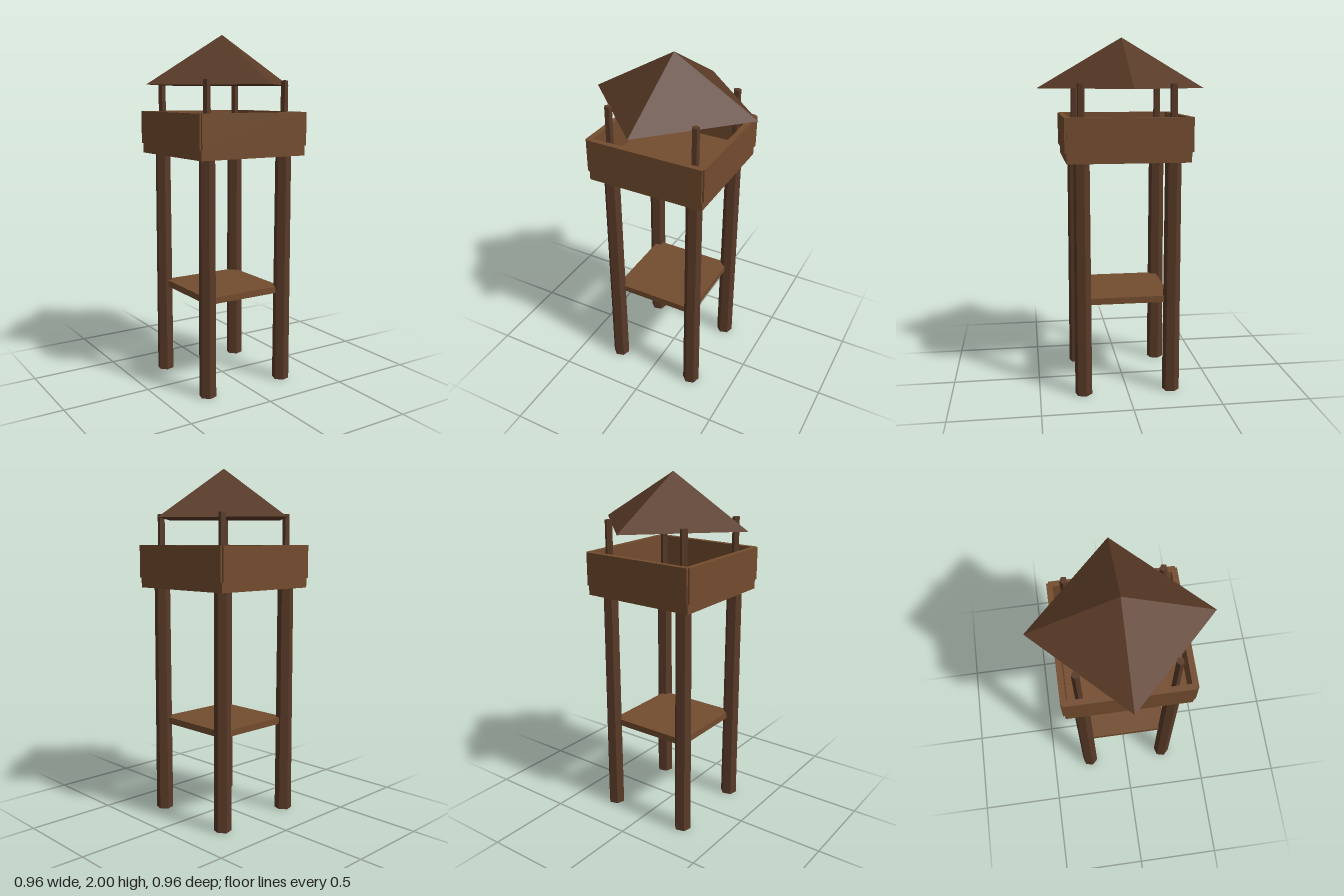
import * as THREE from 'three';

export function createModel() {
  const tower = new THREE.Group();
  tower.name = 'watchtower';

  const plank = new THREE.MeshStandardMaterial({ name: 'plank wood', color: 0x734c2e, flatShading: true });
  const timber = new THREE.MeshStandardMaterial({ name: 'dark timber', color: 0x593a27, flatShading: true });

  const add = (name, geometry, material, x, y, z, turn = 0) => {
    const mesh = new THREE.Mesh(geometry, material);
    mesh.name = name;
    mesh.position.set(x, y, z);
    mesh.rotation.y = turn;
    tower.add(mesh);
  };

  // Tapered legs and thin roof posts at the four corners
  const legHeight = 1.335;
  const legGeometry = new THREE.CylinderGeometry(0.045, 0.049, legHeight, 6);
  const postGeometry = new THREE.CylinderGeometry(0.0215, 0.0215, 0.366, 5);
  for (const sx of [-1, 1]) {
    for (const sz of [-1, 1]) {
      add('leg', legGeometry, timber, sx * 0.2525, legHeight / 2, sz * 0.2525, Math.PI / 4);
      add('roofPost', postGeometry, timber, sx * 0.253, 1.563, sz * 0.253, Math.PI / 4);
    }
  }

  // Lower shelf and lookout floor
  add('shelf', new THREE.BoxGeometry(0.5, 0.037, 0.5), plank, 0, 0.542, 0);
  add('floor', new THREE.BoxGeometry(0.675, 0.062, 0.675), plank, 0, 1.359, 0);

  // Four parapet walls, slightly proud of the floor edge
  const wallGeometry = new THREE.BoxGeometry(0.675, 0.187, 0.032);
  for (let i = 0; i < 4; i++) {
    const a = (i * Math.PI) / 2;
    add('parapetWall', wallGeometry, plank, Math.sin(a) * 0.332, 1.478, Math.cos(a) * 0.332, a);
  }

  // Four-sided roof with its corners on the axes
  add('roof', new THREE.ConeGeometry(0.48, 0.28, 4), timber, 0, 1.86, 0);

  return tower;
}
